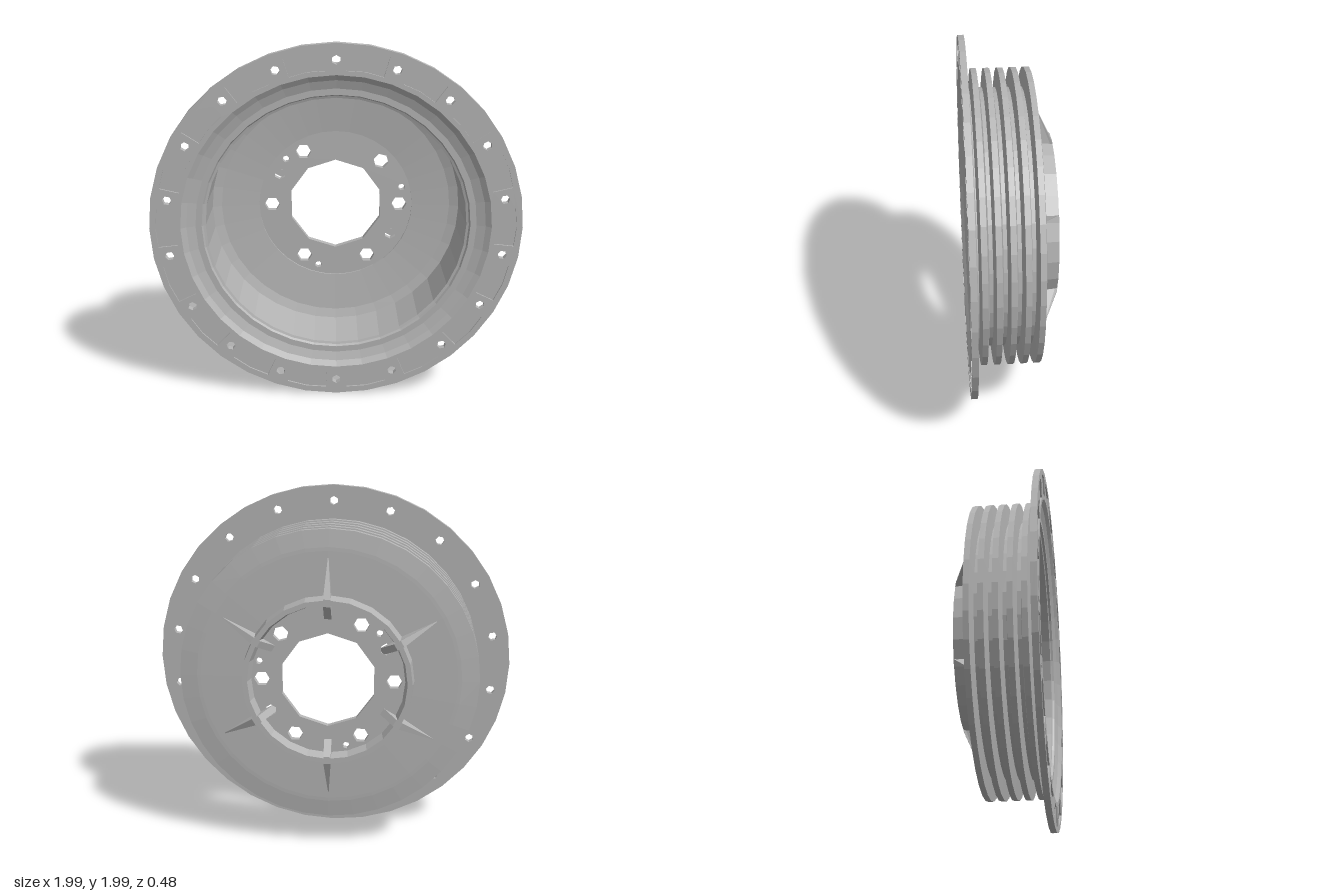
import * as THREE from 'three';

const iron = new THREE.MeshStandardMaterial({ color: 0xb4b4b4 });
iron.name = 'cast iron grey';
iron.flatShading = true;
iron.side = THREE.DoubleSide;

const rad = THREE.MathUtils.degToRad;
const polar = (r, deg) => new THREE.Vector2(r * Math.cos(rad(deg)), r * Math.sin(rad(deg)));

// Points of a regular polygon about (cx, cy)
function ring(r, sides, cx = 0, cy = 0, turn = 0) {
  const pts = [];
  for (let i = 0; i < sides; i++) {
    pts.push(polar(r, turn + i * 360 / sides).add(new THREE.Vector2(cx, cy)));
  }
  return pts;
}

// Flat plate with holes, between two z positions
function plate(outer, holes, z0, z1) {
  const shape = new THREE.Shape(outer);
  for (const h of holes) shape.holes.push(new THREE.Path(h));
  const geo = new THREE.ExtrudeGeometry(shape, { depth: z1 - z0, bevelEnabled: false });
  return geo.translate(0, 0, z0);
}

// Closed profile of [radius, z] turned about the z axis
function turned(profile, sides) {
  const pts = [...profile, profile[0]].map(([r, z]) => new THREE.Vector2(r, z));
  return new THREE.LatheGeometry(pts, sides).rotateX(Math.PI / 2);
}

// Round hole placed at a radius and angle
function holeAt(r, deg, size) {
  const p = polar(r, deg);
  return ring(size, 6, p.x, p.y, deg);
}

export function createModel() {
  const model = new THREE.Group();
  const drum = new THREE.Group();
  drum.name = 'brakeDrum';
  drum.position.y = 0.995;
  model.add(drum);
  const add = (name, geo, parent = drum) => {
    const mesh = new THREE.Mesh(geo, iron);
    mesh.name = name;
    parent.add(mesh);
    return mesh;
  };

  // Flange: back plate with bolt holes, front layer with shallow pockets
  const boltHoles = [], pockets = [];
  for (let i = 0; i < 18; i++) {
    boltHoles.push(holeAt(0.908, 10 + i * 20, 0.025));
    const a = i * 20;
    pockets.push([
      polar(0.852, a - 6.5), polar(0.958, a - 6.5), polar(0.963, a),
      polar(0.958, a + 6.5), polar(0.852, a + 6.5), polar(0.857, a),
    ]);
  }
  const rim = ring(0.995, 36), opening = ring(0.83, 36);
  add('flangeBack', plate(rim, [opening, ...boltHoles], 0.207, 0.231));
  add('flangeFront', plate(rim, [opening, ...boltHoles, ...pockets], 0.231, 0.24));

  // Drum shell with five cooling fins, flared mouth and shallow dished floor
  const profile = [[0.43, -0.155], [0.7, -0.15]];
  for (let i = 0; i < 5; i++) {
    const z = -0.123 + i * 0.0715;
    profile.push([i ? 0.71 : 0.72, z - 0.026], [0.815, z - 0.015],
      [0.815, z + 0.015], [0.71, z + 0.026]);
  }
  profile.push([0.72, 0.207], [0.83, 0.207], [0.83, 0.24], [0.8, 0.222], [0.7, 0.19],
    [0.69, -0.1], [0.64, -0.115], [0.43, -0.135]);
  add('finnedShell', turned(profile, 36));

  // Hub plate with bore, wheel bolts, dowel holes and small threaded holes
  const hubHoles = [ring(0.262, 10, 0, 0, 18)];
  for (const a of [0, 45, 120, 180, 240, 300]) hubHoles.push(holeAt(0.358, a, 0.043));
  for (const a of [150, 330]) hubHoles.push(holeAt(0.36, a, 0.033));
  for (const a of [15, 136, 255]) hubHoles.push(holeAt(0.384, a, 0.02));
  add('hubPlate', plate(ring(0.44, 24), hubHoles, -0.177, -0.143));

  // Raised collar round the hub at the back
  add('hubCollar', turned([[0.43, -0.24], [0.457, -0.24], [0.465, -0.15], [0.41, -0.15]], 24));

  // Six tapered ribs: wedge from the collar out to a point, web across the hub inside
  const ribs = new THREE.Group();
  ribs.name = 'ribs';
  drum.add(ribs);
  const side = new THREE.Shape([
    new THREE.Vector2(0.33, -0.17), new THREE.Vector2(0.42, -0.24),
    new THREE.Vector2(0.46, -0.24), new THREE.Vector2(0.665, -0.15),
    new THREE.Vector2(0.43, -0.15), new THREE.Vector2(0.42, -0.17),
  ]);
  const ribGeo = new THREE.ExtrudeGeometry(side, { depth: 0.04, bevelEnabled: false });
  ribGeo.translate(0, 0, -0.02).rotateX(Math.PI / 2);
  const pos = ribGeo.attributes.position;
  for (let i = 0; i < pos.count; i++) {
    // narrow the rib towards its outer point
    if (pos.getX(i) > 0.6) pos.setY(i, pos.getY(i) * 0.1);
  }
  ribGeo.computeVertexNormals();
  for (let i = 0; i < 6; i++) add('rib', ribGeo, ribs).rotation.z = rad(30 + i * 60);

  return model;
}
